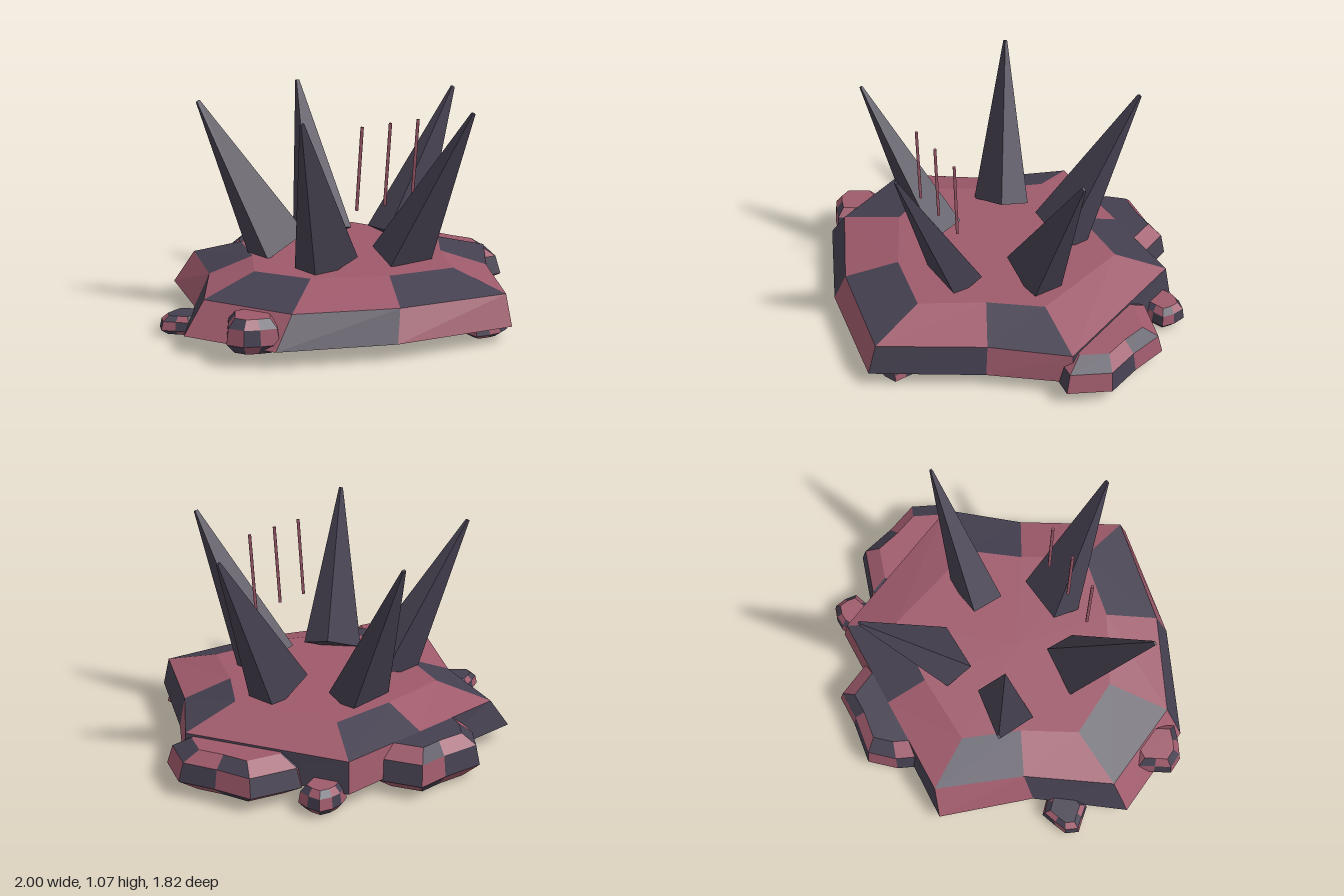
import * as THREE from 'three';

const rose = new THREE.MeshStandardMaterial({ color: 0x9e5a6b });
rose.name = 'dusty rose';
const slate = new THREE.MeshStandardMaterial({ color: 0x454050 });
slate.name = 'dark slate';

// Faceted slab from four stacked rings of [x, z] points, with chequered sides
function slab(name, rings, heights, capDark = false) {
  const faces = [[], []]; // rose, slate
  const n = rings[0].length;
  const at = (r, i) => [rings[r][i % n][0], heights[r], rings[r][i % n][1]];
  const centre = (r) => {
    const s = rings[r].reduce((a, p) => [a[0] + p[0] / n, a[1] + p[1] / n], [0, 0]);
    return [s[0], heights[r], s[1]];
  };
  for (let i = 0; i < n; i++) {
    for (let b = 0; b < 3; b++) {
      const a0 = at(b, i), a1 = at(b, i + 1), b0 = at(b + 1, i), b1 = at(b + 1, i + 1);
      faces[(i + b) % 2 === 0 ? 1 : 0].push(...a0, ...b0, ...a1, ...a1, ...b0, ...b1);
    }
    faces[capDark ? 1 : 0].push(...centre(3), ...at(3, i + 1), ...at(3, i));
    faces[1].push(...centre(0), ...at(0, i), ...at(0, i + 1));
  }
  const geo = new THREE.BufferGeometry();
  geo.setAttribute('position', new THREE.Float32BufferAttribute([...faces[0], ...faces[1]], 3));
  geo.addGroup(0, faces[0].length / 3, 0);
  geo.addGroup(faces[0].length / 3, faces[1].length / 3, 1);
  geo.computeVertexNormals();
  const mesh = new THREE.Mesh(geo, [rose, slate]);
  mesh.name = name;
  return mesh;
}

// Scale an outline about a centre
const inset = (pts, [cx, cz], s) => pts.map(([x, z]) => [cx + (x - cx) * s, cz + (z - cz) * s]);

// Side rock: the widest outline is shrunk for the other rings
function sideRock(name, outline, centre, y0, y1, capDark) {
  const h = y1 - y0;
  const rings = [0.7, 1, 0.92, 0.66].map((s) => inset(outline, centre, s));
  return slab(name, rings, [y0, y0 + h * 0.28, y0 + h * 0.74, y1], capDark);
}

// Slightly uneven ten-sided outline for the pebbles
function pebbleOutline([cx, cz], rx, rz, phase) {
  return Array.from({ length: 10 }, (_, i) => {
    const a = (i / 10) * Math.PI * 2;
    const k = 0.92 + 0.12 * Math.sin(i * 2.3 + phase);
    return [cx + Math.cos(a) * rx * k, cz + Math.sin(a) * rz * k];
  });
}

export function createModel() {
  const model = new THREE.Group();
  model.name = 'spikedRock';

  // Main slab
  const top = [[0.55, 0.08], [0.37, 0.3], [0.2, 0.58], [-0.13, 0.5], [-0.45, 0.31],
    [-0.58, 0.04], [-0.42, -0.2], [-0.3, -0.47], [0.06, -0.47], [0.4, -0.44]];
  const upper = [[0.84, 0.12], [0.57, 0.42], [0.28, 0.86], [-0.26, 0.73], [-0.7, 0.5],
    [-0.88, 0.06], [-0.61, -0.3], [-0.43, -0.71], [0.08, -0.68], [0.55, -0.65]];
  const lower = [[0.86, 0.12], [0.59, 0.44], [0.28, 0.905], [-0.31, 0.775], [-0.81, 0.525],
    [-1, 0.07], [-0.7, -0.3], [-0.53, -0.75], [0.08, -0.7], [0.57, -0.67]];
  model.add(slab('mainSlab', [inset(top, [0, 0], 1.08), lower, upper, top], [0, 0.08, 0.23, 0.31]));

  // Two large rocks leaning on the slab
  model.add(sideRock('backRock', [[0.36, -0.66], [0.28, -0.5], [0.1, -0.45], [-0.1, -0.48],
    [-0.2, -0.58], [-0.25, -0.7], [-0.2, -0.8], [-0.09, -0.91], [0.12, -0.87], [0.28, -0.86]],
  [0.06, -0.69], 0.01, 0.23, true));
  model.add(sideRock('rightRock', [[1, 0], [0.9, 0.19], [0.72, 0.16], [0.55, 0.08], [0.46, -0.05],
    [0.45, -0.2], [0.52, -0.36], [0.66, -0.46], [0.9, -0.37], [0.94, -0.18]],
  [0.72, -0.13], 0.02, 0.22, false));

  // Pebbles: name, centre, x and z radius, bottom, top, dark cap
  const pebbles = [
    ['backRightPebble', [0.64, -0.57], 0.11, 0.11, 0.01, 0.13, false],
    ['leftPebble', [-0.83, -0.19], 0.13, 0.11, 0.01, 0.1, true],
    ['frontLeftPebble', [-0.82, 0.36], 0.14, 0.15, 0.06, 0.22, false],
    ['frontPebble', [0.25, 0.74], 0.12, 0.1, 0.01, 0.08, true],
  ];
  pebbles.forEach(([name, c, rx, rz, y0, y1, dark], i) =>
    model.add(sideRock(name, pebbleOutline(c, rx, rz, i * 1.7), c, y0, y1, dark)));

  // Ring of five leaning four-sided spikes
  const spikeGeo = new THREE.CylinderGeometry(0.013, 0.184, 0.83, 4).toNonIndexed();
  spikeGeo.rotateY(Math.PI / 4).scale(1, 1, 0.62).translate(0, 0.415, 0);
  spikeGeo.computeVertexNormals();
  const up = new THREE.Vector3(0, 1, 0);
  const tilt = 0.48;
  for (let i = 0; i < 5; i++) {
    const a = (i / 5) * Math.PI * 2;
    const spike = new THREE.Mesh(spikeGeo, slate);
    spike.name = 'spike' + (i + 1);
    spike.position.set(Math.cos(a) * 0.33, 0.33, Math.sin(a) * 0.33);
    spike.quaternion.setFromUnitVectors(up, new THREE.Vector3(
      Math.cos(a) * Math.sin(tilt), Math.cos(tilt), Math.sin(a) * Math.sin(tilt)));
    model.add(spike);
  }

  // Three thin floating rods
  const rodGeo = new THREE.CylinderGeometry(0.008, 0.008, 0.4, 6);
  [-0.18, -0.008, 0.165].forEach((x, i) => {
    const rod = new THREE.Mesh(rodGeo, rose);
    rod.name = 'rod' + (i + 1);
    rod.position.set(x, 0.8, 0.336);
    rod.rotation.set(0.05, 0, -0.04);
    model.add(rod);
  });
  return model;
}
